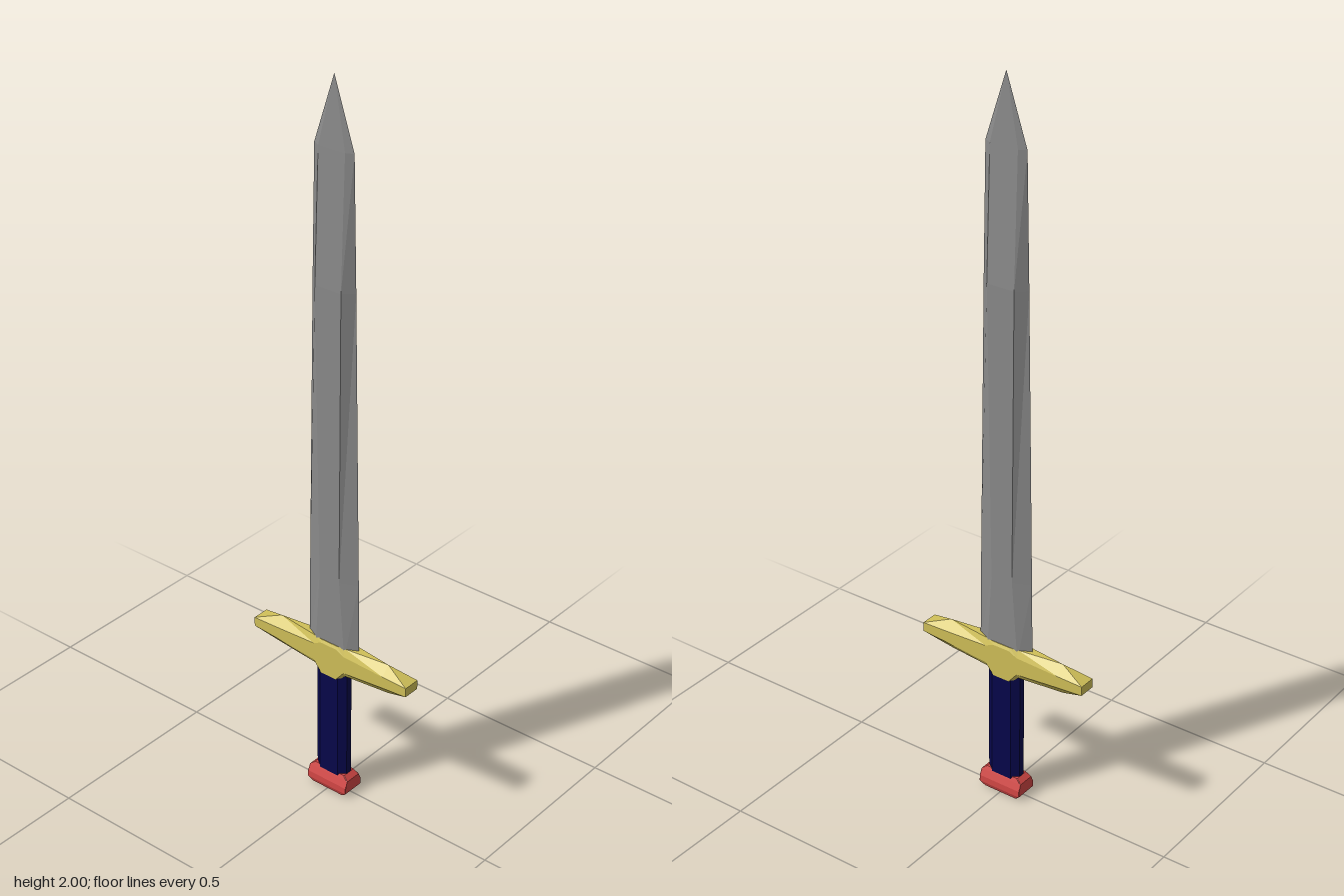
import * as THREE from 'three';

const material = (name, color) => {
  const m = new THREE.MeshStandardMaterial({ color });
  m.name = name;
  return m;
};

// Joins equal-length rings of Vector3 into a closed, faceted solid.
function loft(rings) {
  const positions = [];
  const tri = (a, b, c) => {
    const area = b.clone().sub(a).cross(c.clone().sub(a)).length();
    if (area > 1e-9) for (const p of [a, b, c]) positions.push(p.x, p.y, p.z);
  };
  const n = rings[0].length;
  for (let r = 0; r < rings.length - 1; r++) {
    const a = rings[r], b = rings[r + 1];
    for (let i = 0; i < n; i++) {
      const j = (i + 1) % n;
      tri(a[i], b[i], a[j]);
      tri(a[j], b[i], b[j]);
    }
  }
  const first = rings[0], last = rings[rings.length - 1];
  for (let i = 1; i < n - 1; i++) {
    tri(first[0], first[i], first[i + 1]);
    tri(last[0], last[i + 1], last[i]);
  }
  const geometry = new THREE.BufferGeometry();
  geometry.setAttribute('position', new THREE.Float32BufferAttribute(positions, 3));
  geometry.computeVertexNormals();
  return geometry;
}

// Horizontal eight-sided ring: half width w with side half depth e, face half width f at half depth d.
const levelRing = ([y, w, e, f, d]) =>
  [[w, e], [f, d], [-f, d], [-w, e], [-w, -e], [-f, -d], [f, -d], [w, -e]]
    .map(([x, z]) => new THREE.Vector3(x, y, z));

// Upright ring across the guard: top and bottom strips plus front and back faces.
const guardRing = ([x, top, topHalf, upper, lower, bottom, bottomHalf]) =>
  [[top, topHalf], [top, -topHalf], [upper, -0.024], [lower, -0.024],
    [bottom, -bottomHalf], [bottom, bottomHalf], [lower, 0.024], [upper, 0.024]]
    .map(([y, z]) => new THREE.Vector3(x, y, z));

export function createModel() {
  const sword = new THREE.Group();
  sword.name = 'sword';
  const add = (name, rings, mat) => {
    const mesh = new THREE.Mesh(loft(rings), mat);
    mesh.name = name;
    sword.add(mesh);
  };

  // Bevelled blade tapering to a point
  add('blade', [
    [0.43, 0.083, 0, 0.048, 0.018],
    [0.66, 0.080, 0, 0.032, 0.020],
    [1.47, 0.067, 0, 0.040, 0.024],
    [1.82, 0.060, 0, 0.040, 0.010],
    [2.00, 0, 0, 0, 0],
  ].map(levelRing), material('steel', 0x8a8a8a));

  // Cross guard, mirrored about the middle
  const half = [
    [0.025, 0.463, 0.020, 0.455, 0.362, 0.356, 0.020],
    [0.050, 0.463, 0.016, 0.443, 0.392, 0.378, 0.016],
    [0.178, 0.463, 0, 0.438, 0.404, 0.376, 0],
    [0.253, 0.436, 0.024, 0.436, 0.410, 0.410, 0.024],
  ];
  const mirrored = half.map(([x, ...rest]) => [-x, ...rest]).reverse();
  add('crossGuard', [...mirrored, ...half].map(guardRing), material('gold', 0xcfbf58));

  // Chamfered grip
  add('grip', [
    [0.05, 0.050, 0.009, 0.030, 0.023],
    [0.39, 0.050, 0.009, 0.030, 0.023],
  ].map(levelRing), material('navy', 0x06064a));

  // Flared pommel
  add('pommel', [
    [0, 0.052, 0.026, 0.050, 0.028],
    [0.013, 0.065, 0.032, 0.064, 0.033],
    [0.030, 0.065, 0.031, 0.064, 0.032],
    [0.048, 0.064, 0.024, 0.062, 0.025],
    [0.060, 0.050, 0.018, 0.048, 0.020],
  ].map(levelRing), material('red', 0xd04644));

  return sword;
}
